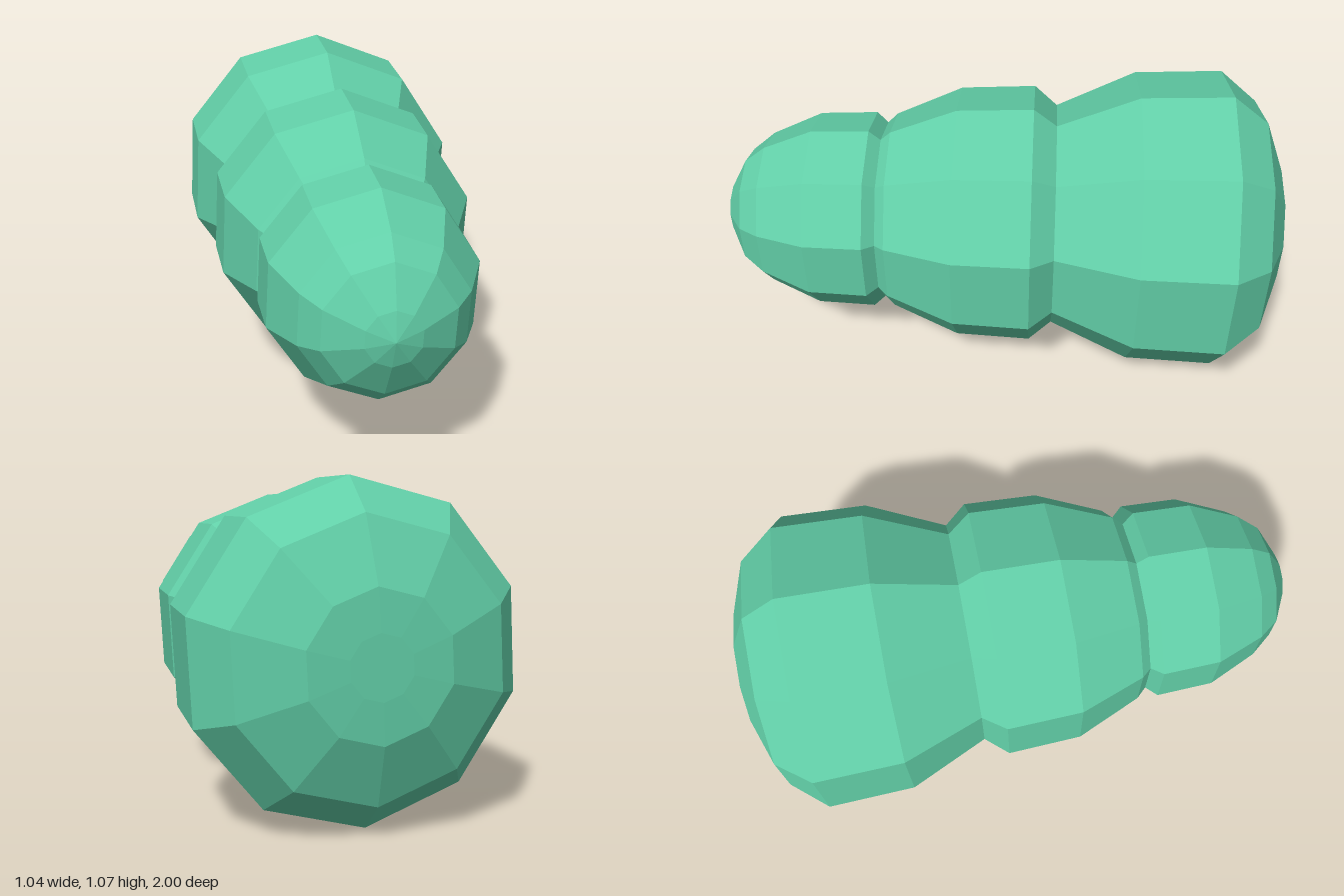
import * as THREE from 'three';

const SIDES = 10;
const TWIST = -THREE.MathUtils.degToRad(3.2);
const CENTRE_Y = 0.54;

// Each section is a faceted ring profile of [radius, z], from back to front
const sections = {
  backSection: [
    [0, -1], [0.1, -1], [0.23, -0.993], [0.433, -0.915],
    [0.537, -0.79], [0.525, -0.48], [0.4, -0.2],
  ],
  middleSection: [
    [0.4, -0.2], [0.467, -0.12], [0.455, 0.145], [0.355, 0.38], [0.322, 0.415],
  ],
  frontSection: [
    [0.322, 0.415], [0.358, 0.455], [0.35, 0.66], [0.273, 0.835],
    [0.212, 0.91], [0.09, 0.975], [0, 1],
  ],
};

function facetedSection(profile) {
  const points = profile.map(([r, z]) => new THREE.Vector2(r, z));
  const lathe = new THREE.LatheGeometry(points, SIDES, TWIST);
  lathe.rotateX(Math.PI / 2); // lay the axis along z
  const flat = lathe.toNonIndexed();
  flat.computeVertexNormals();
  return flat;
}

export function createModel() {
  const green = new THREE.MeshStandardMaterial({ color: 0x62cfa8, flatShading: true });
  green.name = 'sea green';

  const model = new THREE.Group();
  model.name = 'segmentedBody';
  for (const [name, profile] of Object.entries(sections)) {
    const mesh = new THREE.Mesh(facetedSection(profile), green);
    mesh.name = name;
    mesh.position.y = CENTRE_Y;
    model.add(mesh);
  }
  return model;
}
